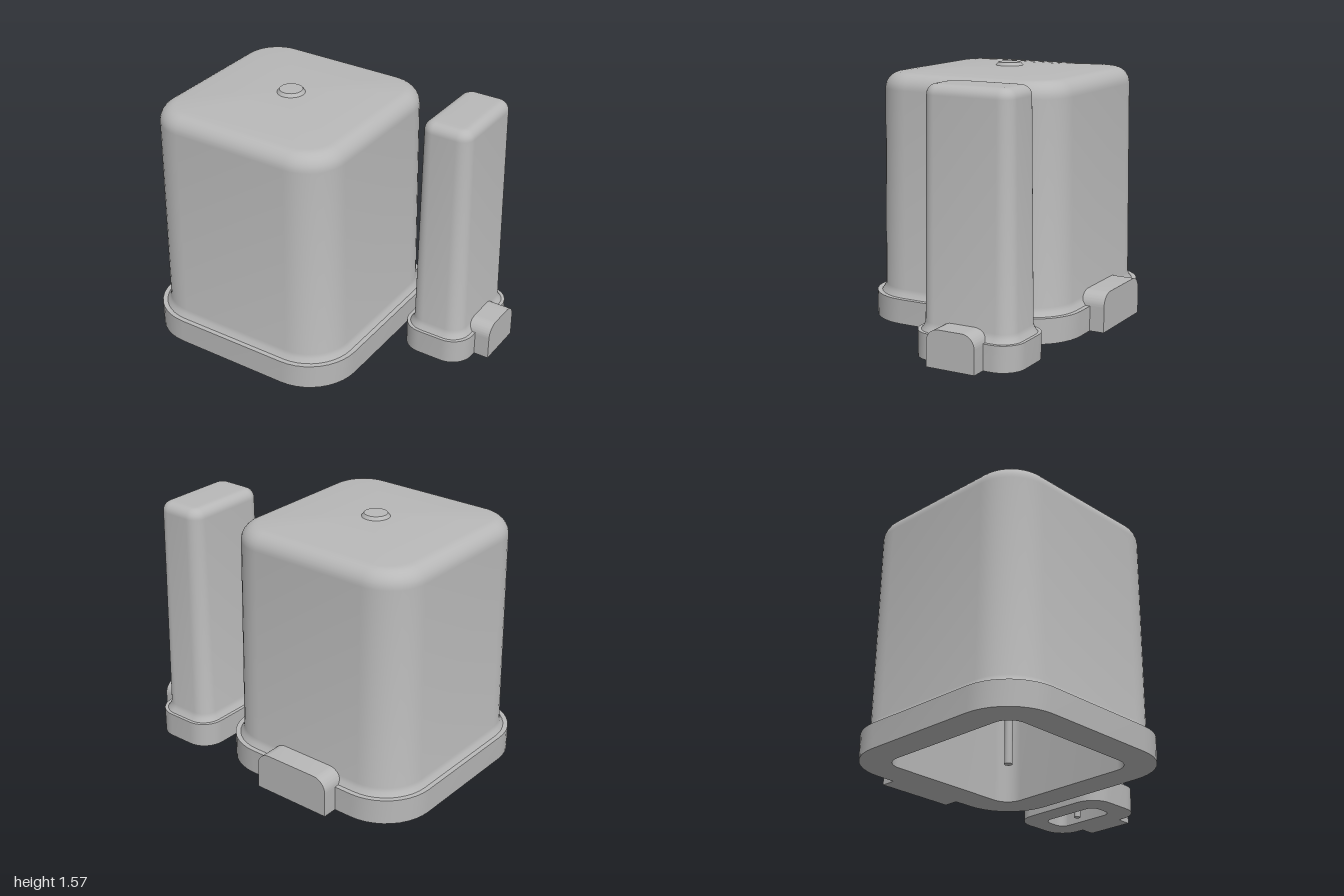
import * as THREE from 'three';
import { toCreasedNormals } from 'three/addons/utils/BufferGeometryUtils.js';

const grey = new THREE.MeshStandardMaterial({ color: 0xb8b8b8 });
grey.name = 'plain grey';

const CORNER_STEPS = 10;

// Points of a rounded rectangle at height y
function ring([hx, hz, r, y]) {
  const pts = [];
  for (let q = 0; q < 4; q++) {
    const sx = q === 0 || q === 3 ? 1 : -1;
    const sz = q < 2 ? 1 : -1;
    for (let i = 0; i <= CORNER_STEPS; i++) {
      const a = (q + i / CORNER_STEPS) * Math.PI / 2;
      pts.push([sx * (hx - r) + r * Math.cos(a), y, sz * (hz - r) + r * Math.sin(a)]);
    }
  }
  return pts;
}

// Skin over rounded-rectangle rings, closed at both ends by a fan
function loft(rows) {
  const rings = rows.map(ring);
  const n = rings[0].length;
  const pos = rings.flat(2);
  const idx = [];
  for (let i = 0; i < rows.length - 1; i++) {
    for (let j = 0; j < n; j++) {
      const k = (j + 1) % n;
      const a = i * n + j, b = i * n + k, c = a + n, d = b + n;
      idx.push(a, c, b, b, c, d);
    }
  }
  const first = rows.length * n, last = first + 1, top = (rows.length - 1) * n;
  pos.push(0, rows[0][3], 0, 0, rows[rows.length - 1][3], 0);
  for (let j = 0; j < n; j++) {
    const k = (j + 1) % n;
    idx.push(first, j, k, top + j, last, top + k);
  }
  const geo = new THREE.BufferGeometry();
  geo.setAttribute('position', new THREE.Float32BufferAttribute(pos, 3));
  geo.setIndex(idx);
  return toCreasedNormals(geo, 0.5);
}

function mesh(name, geo, x = 0, y = 0, z = 0) {
  const m = new THREE.Mesh(geo, grey);
  m.name = name;
  m.position.set(x, y, z);
  return m;
}

// Hollow cover: cavity, bottom rim, flange, tapered wall, filleted top
function coverGeometry(o) {
  const [bx, bz, br] = o.base, [lx, lz, lr] = o.low, [tx, tz, tr] = o.high;
  const [cx, cz, cr] = o.cavity;
  const f = o.fillet, edgeY = o.height - o.crown;
  const rows = [
    [cx, cz, cr, o.ceiling],
    [cx, cz, cr, 0],
    [bx, bz, br, 0],
    [bx, bz, br, 0.155],
    [lx + 0.025, lz + 0.025, lr + 0.025, 0.155],
    [lx + 0.008, lz + 0.008, lr + 0.008, 0.18],
    [lx, lz, lr, 0.205],
  ];
  for (let i = 0; i <= 8; i++) {
    const a = i / 8 * Math.PI / 2;
    const d = f * (1 - Math.cos(a));
    rows.push([tx - d, tz - d, tr - d, edgeY - f + f * Math.sin(a)]);
  }
  // Slightly domed crown
  for (const s of [0.85, 0.7, 0.5, 0.3, 0.1]) {
    rows.push([(tx - f) * s, (tz - f) * s, (tr - f) * s, edgeY + o.crown * (1 - s * s)]);
  }
  return loft(rows);
}

// Upright block with rounded top corners, extruded along +z
function tabGeometry(width, height, depth, r) {
  const w = width / 2;
  const s = new THREE.Shape();
  s.moveTo(-w, 0);
  s.lineTo(w, 0);
  s.lineTo(w, height - r);
  s.absarc(w - r, height - r, r, 0, Math.PI / 2);
  s.lineTo(-w + r, height);
  s.absarc(-w + r, height - r, r, Math.PI / 2, Math.PI);
  s.closePath();
  const geo = new THREE.ExtrudeGeometry(s, { depth, bevelEnabled: false, curveSegments: 10 });
  return toCreasedNormals(geo, 0.5);
}

function rod(radius, top) {
  const geo = new THREE.CylinderGeometry(radius, radius, top, 20);
  return mesh('innerRod', geo, 0, top / 2, 0);
}

export function createModel() {
  const model = new THREE.Group();
  model.name = 'twoCovers';

  // Large square cover
  const large = new THREE.Group();
  large.name = 'largeCover';
  large.position.set(-0.305, 0, 0.043);
  large.add(mesh('largeShell', coverGeometry({
    base: [0.695, 0.695, 0.32], low: [0.64, 0.64, 0.265], high: [0.626, 0.626, 0.25],
    cavity: [0.5, 0.5, 0.11], fillet: 0.1, crown: 0.023, height: 1.553, ceiling: 1.42,
  })));
  large.add(mesh('topButton', new THREE.CylinderGeometry(0.07, 0.092, 0.03, 40), 0, 1.557, 0));
  large.add(rod(0.024, 1.45));
  const backTab = mesh('backTab', tabGeometry(0.51, 0.24, 0.19, 0.085), -0.005, 0, -0.788);
  large.add(backTab);
  model.add(large);

  // Small narrow cover
  const small = new THREE.Group();
  small.name = 'smallCover';
  small.position.set(0.685, 0, -0.3125);
  small.add(mesh('smallShell', coverGeometry({
    base: [0.22, 0.3375, 0.14], low: [0.173, 0.293, 0.095], high: [0.157, 0.278, 0.08],
    cavity: [0.085, 0.205, 0.055], fillet: 0.06, crown: 0.001, height: 1.555, ceiling: 1.44,
  })));
  small.add(rod(0.02, 1.46));
  const sideTab = mesh('sideTab', tabGeometry(0.31, 0.225, 0.17, 0.08), 0.145, 0, 0.005);
  sideTab.rotation.y = Math.PI / 2;
  small.add(sideTab);
  model.add(small);

  return model;
}
